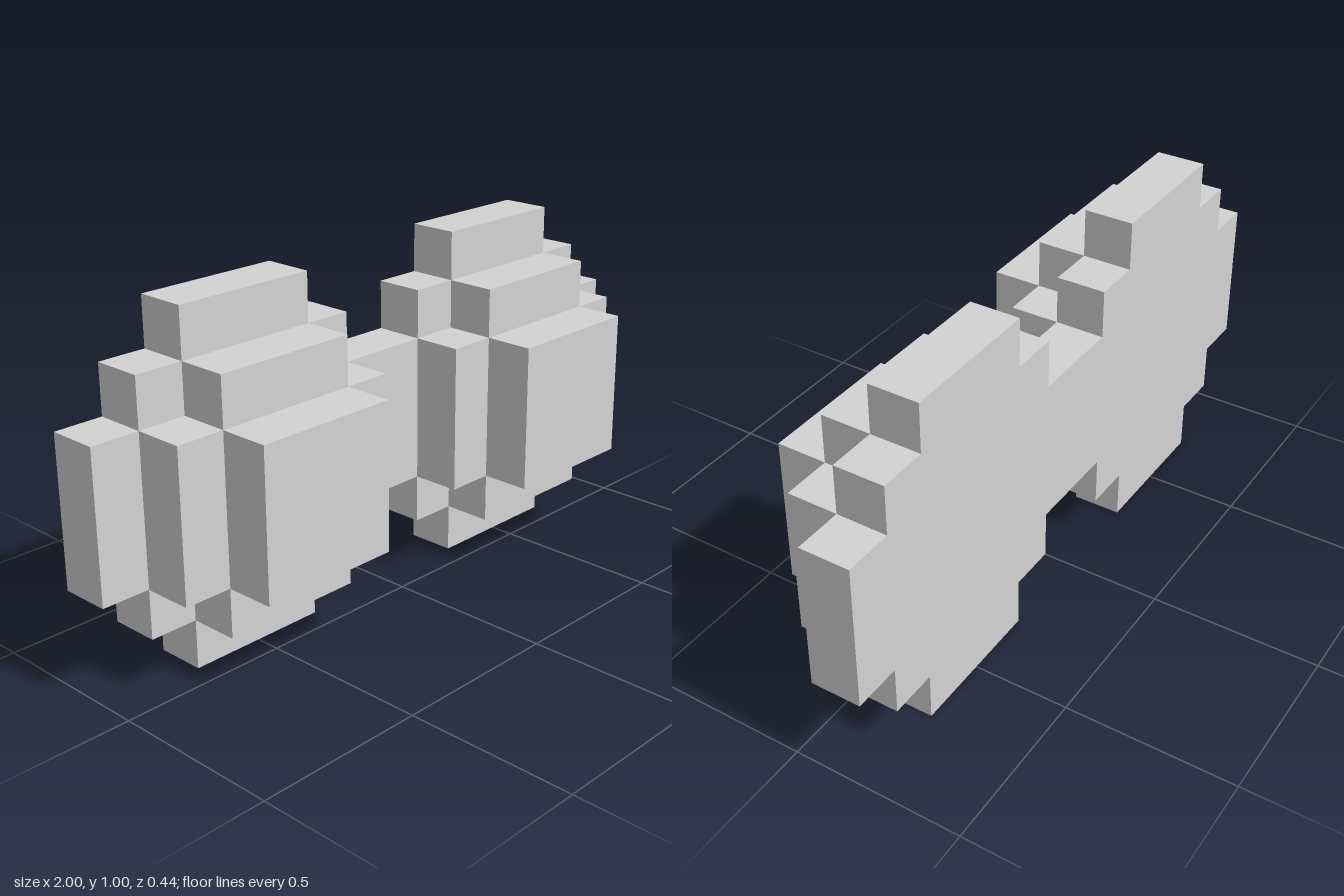
import * as THREE from 'three';

const U = 1 / 7; // width and height of one block
const D = 0.1455; // thickness of one layer

// Plate one layer thick; its outline is one quadrant mirrored about both axes.
function steppedPlate(quadrant, layer) {
  const flip = (sx, sy) => quadrant.map(([x, y]) => new THREE.Vector2(x * sx * U, y * sy * U));
  const outline = [
    ...flip(1, 1),
    ...flip(1, -1).reverse(),
    ...flip(-1, -1),
    ...flip(-1, 1).reverse(),
  ];
  const geometry = new THREE.ExtrudeGeometry(new THREE.Shape(outline), { depth: D, bevelEnabled: false });
  return geometry.translate(0, 0, (layer - 1.5) * D);
}

export function createModel() {
  const model = new THREE.Group();
  model.name = 'blockyDoubleDome';
  const lightGrey = new THREE.MeshStandardMaterial({ color: 0xd3d3d3 });
  lightGrey.name = 'lightGrey';

  const add = (name, geometry, x) => {
    const mesh = new THREE.Mesh(geometry, lightGrey);
    mesh.name = name;
    mesh.position.set(x, 0.5, 0);
    model.add(mesh);
  };

  // Back layer: two stepped discs joined by a bridge
  add('backPlate', steppedPlate([
    [1, 1.5], [1, 2.5], [2, 2.5], [2, 3.5], [5, 3.5], [5, 2.5], [6, 2.5], [6, 1.5], [7, 1.5],
  ], 0), 0);

  // Each dome rises in a cross-shaped layer and a square cap
  const cross = steppedPlate([[1.5, 2.5], [1.5, 1.5], [2.5, 1.5]], 1);
  const cap = steppedPlate([[1.5, 1.5]], 2);
  for (const [side, x] of [['left', 0.5], ['right', -0.5]]) {
    add(side + 'DomeCross', cross, x);
    add(side + 'DomeCap', cap, x);
  }
  return model;
}
